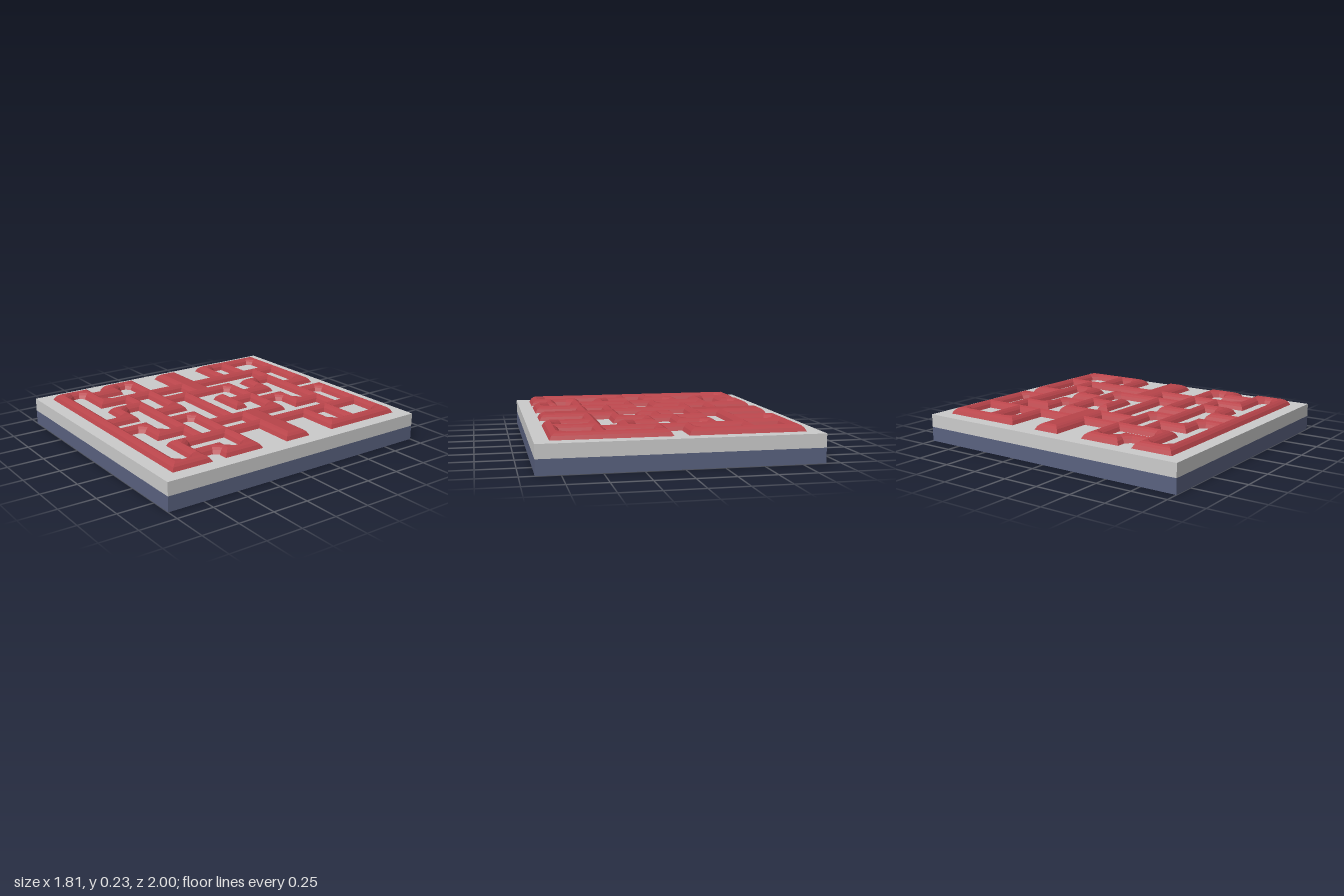
import * as THREE from 'three';

const CELL = 2 / 21, HALF = CELL / 2;
const BASE = 0.1, FLOOR = 0.19;

// Left half of the maze plan plus its centre column; mirrored to 19 columns
const PLAN = [
  '..........',
  '.########.',
  '.#..#...#.',
  '.#..######',
  '.####.#...',
  '.#..#.###.',
  '.####...#.',
  '....#.####',
  '....#.#..#',
  '.######.##',
  '.######...',
  '....#.####',
  '....#.#...',
  '.########.',
  '.#..#...#.',
  '.##.######',
  '..#.#.#...',
  '.####.###.',
  '.#......#.',
  '.#########',
  '..........',
];
const filled = (i, j) => PLAN[j]?.[i > 9 ? 18 - i : i] === '#';

// Rounded wall profile: distance in from the foot, height above the floor
const PROFILE = [[0, 0], [0.014, 0.024], [0.03, 0.037], [HALF, 0.045]];
const TOP = 0.045;

function buildWalls() {
  const pos = [];
  const a = new THREE.Vector3(), b = new THREE.Vector3();
  // Adds a triangle, turned so that it faces up
  const tri = (p, q, r) => {
    a.subVectors(q, p);
    b.subVectors(r, p);
    const up = a.z * b.x - a.x * b.z;
    if (Math.abs(up) < 1e-10) return;
    for (const v of up > 0 ? [p, q, r] : [p, r, q]) pos.push(v.x, v.y, v.z);
  };
  const quad = (p, q, r, s) => { tri(p, q, r); tri(p, r, s); };

  // One quarter of a cell, measured inwards from its outer corner
  function quarter(i, j, sx, sz) {
    const alongX = filled(i + sx, j), alongZ = filled(i, j + sz);
    const diagonal = filled(i + sx, j + sz);
    const cx = (i - 9) * CELL + sx * HALF, cz = (j - 10) * CELL + sz * HALF;
    const point = (u, v, h) => new THREE.Vector3(cx - sx * u, FLOOR + h, cz - sz * v);
    const level = (m, n) => {
      if (alongX && alongZ) return diagonal ? TOP : PROFILE[Math.max(m, n)][1];
      if (alongX) return PROFILE[n][1];
      if (alongZ) return PROFILE[m][1];
      return PROFILE[Math.min(m, n)][1];
    };
    const node = (m, n) => point(PROFILE[m][0], PROFILE[n][0], level(m, n));
    for (let m = 0; m < 3; m++) {
      for (let n = 0; n < 3; n++) {
        quad(node(m, n), node(m + 1, n), node(m + 1, n + 1), node(m, n + 1));
      }
    }
    // Chamfered inside corner where a wall makes a plain turn
    const turn = alongX && alongZ && !diagonal && !filled(i - sx, j) && !filled(i, j - sz);
    if (!turn) return;
    const ends = PROFILE.map(([d, h]) => {
      const u = -0.03 + (Math.SQRT2 - 1) * d;
      return [point(u, d, h), point(d, u, h)];
    });
    for (let k = 0; k < 3; k++) quad(ends[k][0], ends[k][1], ends[k + 1][1], ends[k + 1][0]);
    tri(ends[3][0], ends[3][1], point(HALF, HALF, TOP));
  }

  for (let j = 0; j < 21; j++) {
    for (let i = 0; i < 19; i++) {
      if (!filled(i, j)) continue;
      for (const sx of [-1, 1]) for (const sz of [-1, 1]) quarter(i, j, sx, sz);
    }
  }
  const geometry = new THREE.BufferGeometry();
  geometry.setAttribute('position', new THREE.Float32BufferAttribute(pos, 3));
  geometry.computeVertexNormals();
  return geometry;
}

export function createModel() {
  const group = new THREE.Group();
  group.name = 'mazeBoard';

  const add = (name, geometry, color, y = 0) => {
    const material = new THREE.MeshStandardMaterial({ color });
    const mesh = new THREE.Mesh(geometry, material);
    mesh.name = name;
    mesh.position.y = y;
    group.add(mesh);
  };

  // Two stacked slabs with the raised maze on top
  add('baseSlab', new THREE.BoxGeometry(19 * CELL, BASE, 2), 0x5a6280, BASE / 2);
  add('floorSlab', new THREE.BoxGeometry(19 * CELL, FLOOR - BASE, 2), 0xcccccc, (BASE + FLOOR) / 2);
  add('mazeWalls', buildWalls(), 0xb8444a);
  return group;
}
